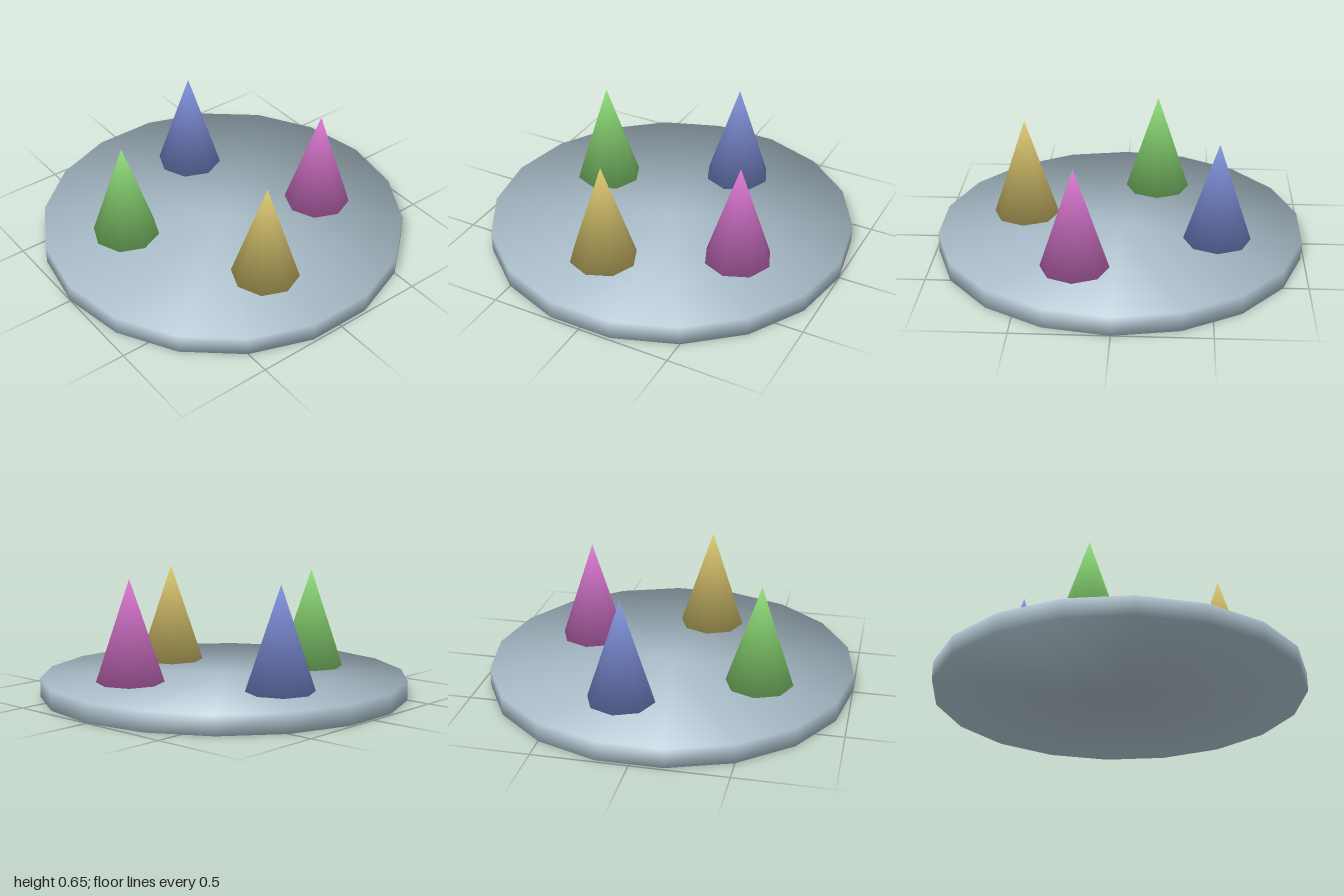
import * as THREE from 'three';
import { mergeVertices } from 'three/addons/utils/BufferGeometryUtils.js';

// Share every corner and give it the plain average of its faces' normals
function softened(source) {
  source.deleteAttribute('normal');
  source.deleteAttribute('uv');
  source.clearGroups();
  const geo = mergeVertices(source, 1e-4);
  const pos = geo.attributes.position;
  const normals = Array.from({ length: pos.count }, () => new THREE.Vector3());
  const tri = new THREE.Triangle();
  const n = new THREE.Vector3();
  for (let i = 0; i < geo.index.count; i += 3) {
    const ids = [0, 1, 2].map((k) => geo.index.getX(i + k));
    tri.setFromAttributeAndIndices(pos, ...ids);
    tri.getNormal(n);
    ids.forEach((id) => normals[id].add(n));
  }
  geo.setAttribute('normal', new THREE.Float32BufferAttribute(
    normals.flatMap((v) => v.normalize().toArray()), 3));
  return geo;
}

function material(name, color) {
  const m = new THREE.MeshStandardMaterial({ color });
  m.name = name;
  return m;
}

export function createModel() {
  const model = new THREE.Group();
  model.name = 'coneBoard';

  // Round base plate with eighteen sides, one corner on +x
  const plate = new THREE.Mesh(
    softened(new THREE.CylinderGeometry(1, 1, 0.103, 18, 1, false, Math.PI / 2)),
    material('paleBlueGrey', 0xabbfcb));
  plate.name = 'basePlate';
  plate.position.y = 0.0515;
  model.add(plate);

  // Four eight-sided cones standing on the plate
  const coneGeometry = softened(new THREE.ConeGeometry(0.182, 0.549, 8));
  const cones = [
    ['greenCone', 'green', 0x8fde78, -0.516, -0.195],
    ['yellowCone', 'yellow', 0xdcc870, -0.126, 0.533],
    ['blueCone', 'blue', 0x8293de, 0.155, -0.53],
    ['pinkCone', 'pink', 0xdc78d2, 0.505, 0.213],
  ];
  for (const [name, colorName, color, x, z] of cones) {
    const cone = new THREE.Mesh(coneGeometry, material(colorName, color));
    cone.name = name;
    cone.position.set(x, 0.103 + 0.549 / 2, z);
    model.add(cone);
  }
  return model;
}
